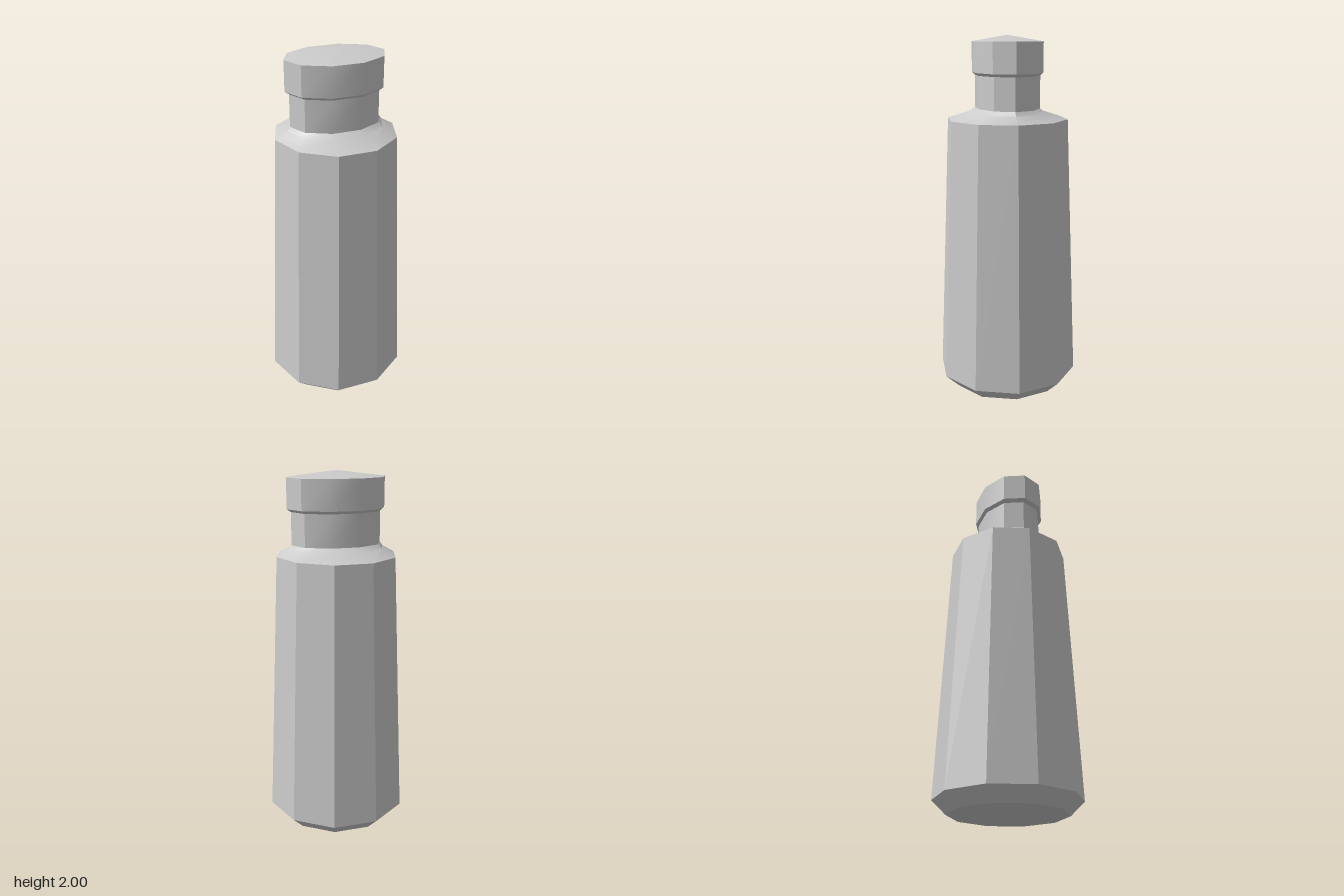
import * as THREE from 'three';
import { toCreasedNormals } from 'three/addons/utils/BufferGeometryUtils.js';

const SIDES = 10;

// Loft ten-sided elliptical rings [y, rx, rz], closed by a point at each end.
function loft(name, rings, bottomY, topY, material) {
  const pos = [], index = [];
  for (const [y, rx, rz] of rings) {
    for (let i = 0; i < SIDES; i++) {
      const a = (i / SIDES) * Math.PI * 2;
      pos.push(rx * Math.cos(a), y, rz * Math.sin(a));
    }
  }
  const last = (rings.length - 1) * SIDES;
  const bottom = rings.length * SIDES, top = bottom + 1;
  pos.push(0, bottomY, 0, 0, topY, 0);
  for (let i = 0; i < SIDES; i++) {
    const j = (i + 1) % SIDES;
    for (let r = 0; r < last; r += SIDES) {
      index.push(r + i, r + SIDES + i, r + j, r + j, r + SIDES + i, r + SIDES + j);
    }
    index.push(bottom, i, j, top, last + j, last + i);
  }
  const geometry = new THREE.BufferGeometry();
  geometry.setAttribute('position', new THREE.Float32BufferAttribute(pos, 3));
  geometry.setIndex(index);
  const mesh = new THREE.Mesh(toCreasedNormals(geometry, THREE.MathUtils.degToRad(30)), material);
  mesh.name = name;
  return mesh;
}

export function createModel() {
  const group = new THREE.Group();
  group.name = 'bottle';
  const material = new THREE.MeshStandardMaterial({ color: 0xcccccc });

  // Tapered body with a bevelled foot, flowing over the shoulder into a flat oval neck,
  // then out to the cap and its shallow peak
  group.add(loft('bottle body, neck and cap', [
    [0, 0.323, 0.323],
    [0.075, 0.4, 0.4],
    [1.55, 0.336, 0.336],
    [1.588, 0.268, 0.21],
    [1.61, 0.252, 0.177],
    [1.787, 0.252, 0.177],
    [1.802, 0.275, 0.193],
    [1.966, 0.275, 0.193],
  ], 0, 2, material));

  return group;
}
